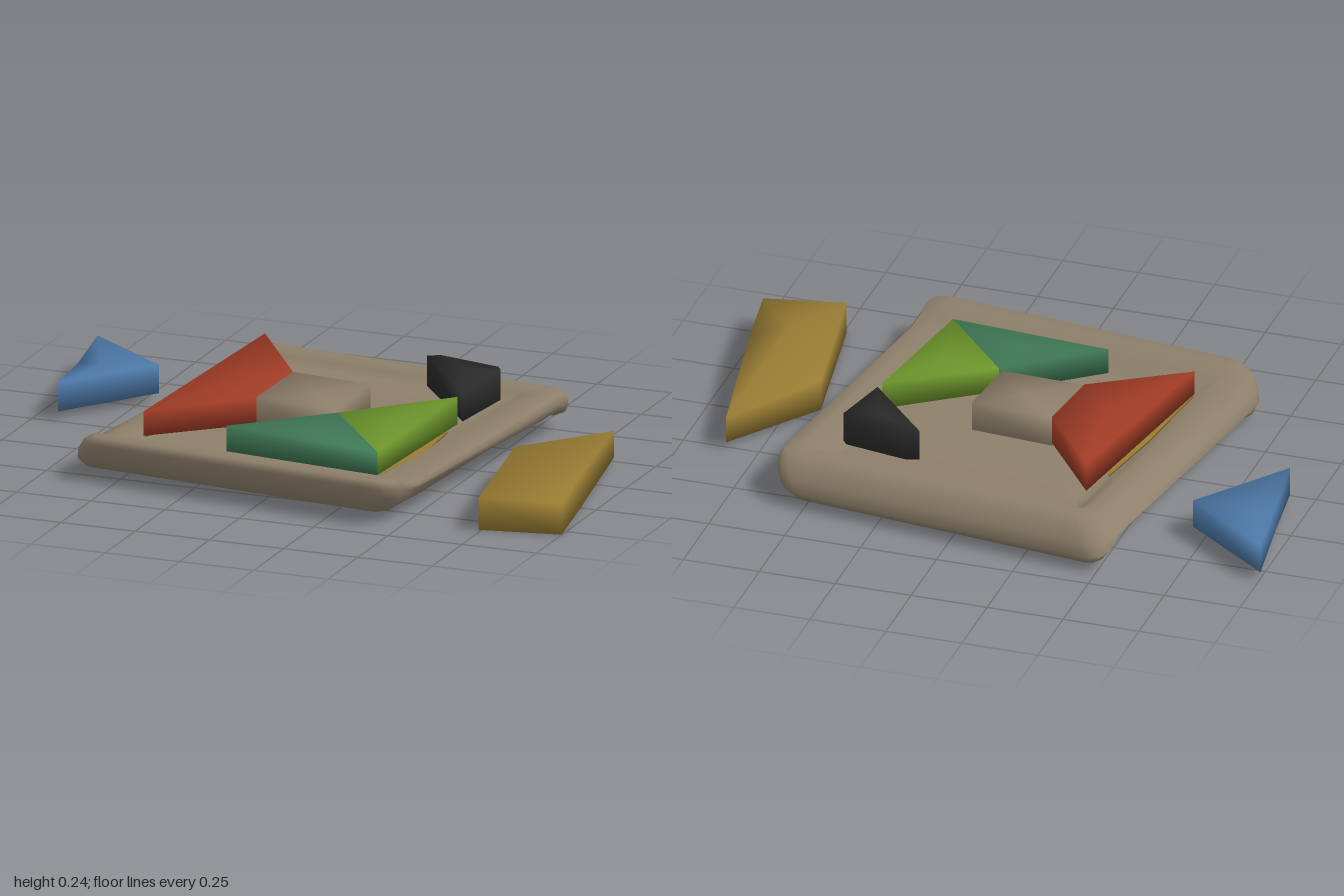
import * as THREE from 'three';
import { mergeVertices } from 'three/addons/utils/BufferGeometryUtils.js';

const mat = (name, color) => {
  const m = new THREE.MeshStandardMaterial({ color });
  m.name = name;
  return m;
};

const smooth = THREE.MathUtils.smoothstep;
const clamp = THREE.MathUtils.clamp;

// Softly shaded block from a top outline of [x, z, topY]; mid is an optional point creasing the top
function block(name, material, pts, low, mid) {
  let area = 0;
  pts.forEach((p, i) => {
    const q = pts[(i + 1) % pts.length];
    area += p[0] * q[1] - q[0] * p[1];
  });
  const ring = area > 0 ? [...pts].reverse() : pts; // counter-clockwise seen from above
  const n = ring.length;
  const mean = k => ring.reduce((s, p) => s + p[k], 0) / n;
  const c = mid || [mean(0), mean(1), mean(2)];
  const pos = [];
  const tri = (...vs) => vs.forEach(v => pos.push(v[0], v[2], v[1]));
  ring.forEach((p, i) => {
    const q = ring[(i + 1) % n];
    const pb = [p[0], p[1], low(p)], qb = [q[0], q[1], low(q)];
    tri(c, p, q);
    tri(p, pb, qb);
    tri(p, qb, q);
    tri([c[0], c[1], low(c)], qb, pb);
  });
  let g = new THREE.BufferGeometry();
  g.setAttribute('position', new THREE.Float32BufferAttribute(pos, 3));
  g = mergeVertices(g);
  g.computeVertexNormals();
  const mesh = new THREE.Mesh(g, material);
  mesh.name = name;
  return mesh;
}

// Rounded rectangle loop with subdivided sides
function loop(a, b, r) {
  const corners = [[1, 1], [-1, 1], [-1, -1], [1, -1]];
  const out = [];
  corners.forEach(([sx, sz], k) => {
    const cx = sx * (a - r), cz = sz * (b - r);
    for (let i = 0; i <= 6; i++) {
      const t = (k + i / 6) * Math.PI / 2;
      out.push([cx + r * Math.cos(t), cz + r * Math.sin(t)]);
    }
    const p = out[out.length - 1];
    const [nx, nz] = corners[(k + 1) % 4];
    const t = (k + 1) * Math.PI / 2;
    const q = [nx * (a - r) + r * Math.cos(t), nz * (b - r) + r * Math.sin(t)];
    for (let i = 1; i < 20; i++) {
      out.push([p[0] + (q[0] - p[0]) * i / 20, p[1] + (q[1] - p[1]) * i / 20]);
    }
  });
  return out;
}

// Tray: nested loops from the floor, over the leaning rim, to the hollow underside
function tray(material) {
  const A = 0.57, B = 0.608, LEAN = 0.5, FLOOR = 0, UNDER = -1;
  // [inset, height]; FLOOR and UNDER follow the tilted plate, inset 1 is the centre
  const rings = [[1, FLOOR], [0.3, FLOOR], [0.18, FLOOR], [0.165, 0.112], [0.125, 0.136], [0.075, 0.147],
    [0.03, 0.143], [0.008, 0.12], [0, 0.085], [0.004, 0.05], [0.025, 0.024], [0.06, 0.017],
    [0.09, 0.024], [0.14, 0.048], [0.19, UNDER], [0.3, UNDER], [1, UNDER]];
  const pos = [], idx = [];
  let n = 0;
  for (const [inset, h] of rings) {
    const ring = inset === 1
      ? loop(A, B, 0.07).map(() => [0, 0])
      : loop(A - inset, B - inset, Math.max(0.02, 0.07 - inset * 0.4));
    n = ring.length;
    for (const [u, v] of ring) {
      const floor = 0.108 - 0.04 * v, under = 0.068 - 0.045 * v;
      // the sides are a slimmer band that drops sharply only at the back
      const side = v < 0 ? 1 - smooth(-v, 0.45, 0.6) : 1 - smooth(v, 0.42, 0.55);
      let y = h === FLOOR ? floor : under;
      if (h > 0) {
        y = h + (floor + 0.014 - 0.147) * side * clamp((h - 0.085) / 0.062, 0, 1)
          + Math.max(0, under - h) * side;
      }
      // right and front rims flare out at the top, left and back at the bottom
      const lean = h > 0 ? LEAN * (h - 0.085) * (1 - smooth(inset, 0.06, 0.16)) : 0;
      pos.push(u + lean, y, v + lean);
    }
  }
  for (let r = 0; r < rings.length - 1; r++) {
    for (let i = 0; i < n; i++) {
      const a = r * n + i, b = r * n + (i + 1) % n, c = a + n, d = b + n;
      if (r > 0) idx.push(a, b, c);
      if (r < rings.length - 2) idx.push(b, d, c);
    }
  }
  const g = new THREE.BufferGeometry();
  g.setAttribute('position', new THREE.Float32BufferAttribute(pos, 3));
  g.setIndex(idx);
  g.computeVertexNormals();
  const mesh = new THREE.Mesh(g, material);
  mesh.name = 'tray';
  mesh.position.x = -0.018;
  mesh.rotation.y = -0.115;
  return mesh;
}

export function createModel() {
  const model = new THREE.Group();
  model.name = 'tilePuzzle';
  const stone = mat('stone', 0x8d7f6a);
  const red = mat('red', 0x9e3b25);
  const green = mat('green', 0x3f7855);
  const lime = mat('lime', 0x6b932b);
  const black = mat('black', 0x2a2a2b);
  const gold = mat('gold', 0x967a32);
  const blue = mat('blue', 0x4c77a6);
  stone.side = THREE.DoubleSide;

  const bed = p => 0.118 - 0.04 * p[1];
  const plateBed = p => bed(p) - 0.008;
  const plate = (name, pts) => block(name, gold, pts.map(p => [...p, bed(p)]), plateBed);
  model.add(
    tray(stone),
    // Raised square in the middle
    block('centreBlock', stone,
      [[-0.17, -0.12, 0.212], [0.1, -0.1, 0.208], [0.085, 0.16, 0.192], [-0.19, 0.135, 0.2]],
      () => 0.09, [-0.03, 0.03, 0.196]),
    // Tiles in the tray
    block('redTile', red,
      [[-0.38, -0.41, 0.232], [-0.17, -0.12, 0.213], [-0.19, 0.14, 0.2], [-0.48, 0.36, 0.183]], bed),
    block('greenTile', green,
      [[-0.18, 0.41, 0.185], [0.1, 0.17, 0.192], [0.35, 0.465, 0.175]], bed),
    block('limeTile', lime,
      [[0.1, 0.17, 0.192], [0.405, -0.07, 0.21], [0.35, 0.465, 0.175]], bed),
    block('blackTile', black,
      [[0.18, -0.375, 0.233], [0.22, -0.39, 0.235], [0.43, -0.35, 0.232], [0.445, -0.33, 0.23],
        [0.41, -0.1, 0.212]], bed),
    // Thin gold plates peeping out under the tiles
    plate('underPlateLeft', [[-0.41, -0.28], [-0.3, 0], [-0.48, 0.35], [-0.45, 0]]),
    plate('underPlateRight', [[0.4, 0], [0.405, 0.2], [0.36, 0.43], [0.25, 0.2]]),
    // Loose tiles beside the tray
    block('goldTile', gold,
      [[0.86, -0.25, 0.1], [0.955, 0.27, 0.112], [1, 0.54, 0.1], [0.74, 0.585, 0.105], [0.65, 0.06, 0.112]],
      p => 0.01 - 0.018 * p[1], [0.87, 0.42, 0.09]),
    block('blueTile', blue,
      [[-1, -0.55, 0.115], [-0.705, -0.33, 0.115], [-0.925, -0.03, 0.115], [-0.96, -0.29, 0.105]],
      () => 0.022, [-0.89, -0.3, 0.104])
  );
  return model;
}
